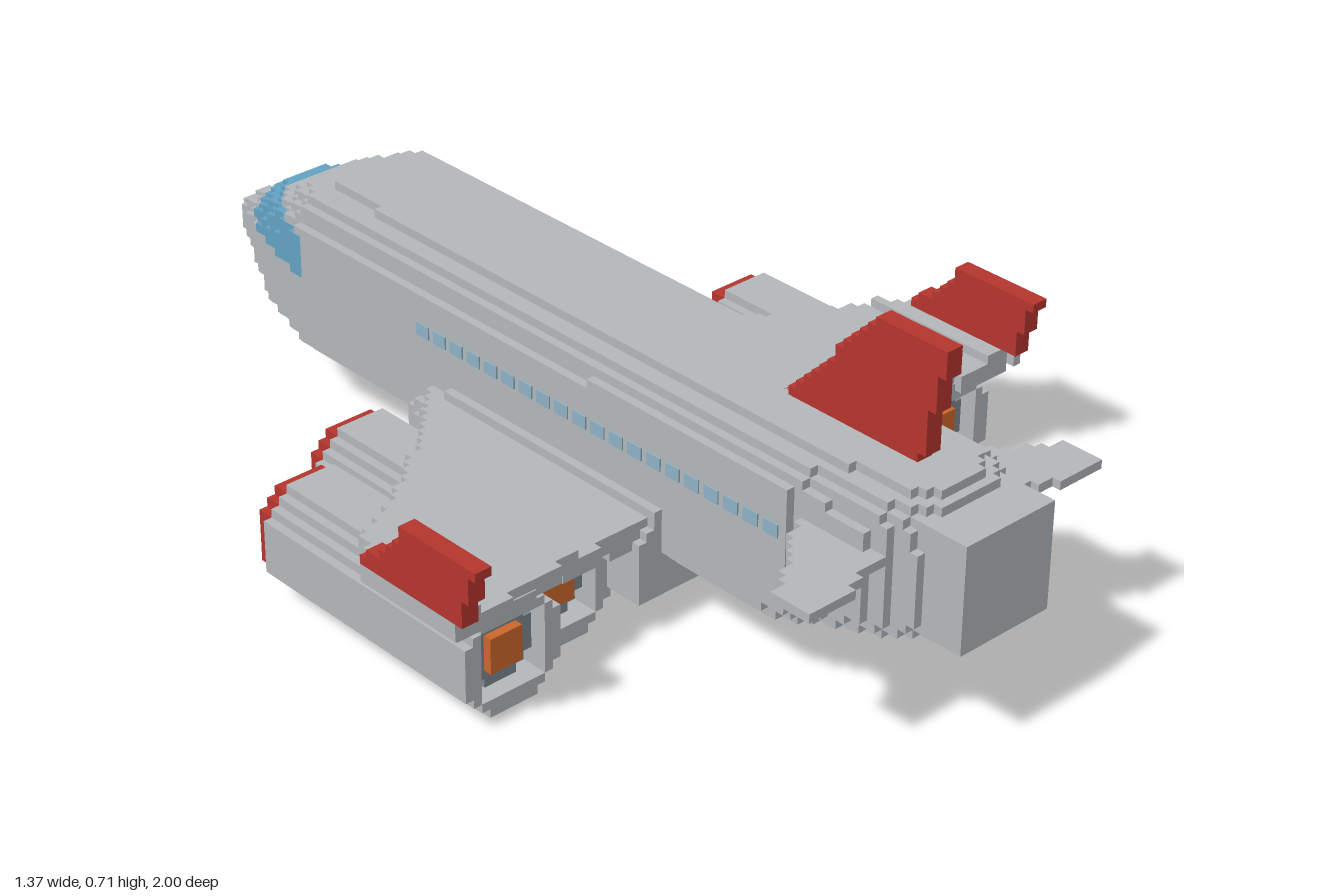
import * as THREE from 'three';

const V = 2 / 114; // block size

const mat = (name, color) => {
  const m = new THREE.MeshStandardMaterial({ color });
  m.name = name;
  return m;
};

// Piecewise-linear lookup through [position, value] points
function along(points, p) {
  if (p <= points[0][0]) return points[0][1];
  for (let i = 1; i < points.length; i++) {
    const [a, u] = points[i - 1], [b, v] = points[i];
    if (p <= b) return u + (v - u) * (p - a) / (b - a);
  }
  return points[points.length - 1][1];
}

// Fills min..max with blocks where pick(x, y, z) returns a material index (-1 = empty).
// Only outer faces are made, joined into long strips.
function blocks(name, materials, min, max, pick) {
  const lo = min.map(v => Math.round(v / V)), hi = max.map(v => Math.round(v / V));
  const n = lo.map((l, a) => hi[a] - l);
  const cells = new Int8Array(n[0] * n[1] * n[2]).fill(-1);
  const at = c => c.some((v, a) => v < 0 || v >= n[a]) ? -1 : cells[(c[0] * n[1] + c[1]) * n[2] + c[2]];
  for (let i = 0, q = 0; i < n[0]; i++)
    for (let j = 0; j < n[1]; j++)
      for (let k = 0; k < n[2]; k++, q++)
        cells[q] = pick((lo[0] + i + 0.5) * V, (lo[1] + j + 0.5) * V, (lo[2] + k + 0.5) * V);

  const faces = materials.map(() => []);
  for (let axis = 0; axis < 3; axis++) for (const dir of [-1, 1]) {
    const run = axis === 2 ? 0 : 2, side = 3 - axis - run;
    const face = c => {
      const d = [...c];
      d[axis] += dir;
      return at(d) < 0 ? at(c) : -1;
    };
    const flip = ((side - axis + 3) % 3 === 1) !== (dir > 0);
    for (let i = 0; i < n[axis]; i++) for (let j = 0; j < n[side]; j++) {
      const c = [0, 0, 0];
      c[axis] = i; c[side] = j;
      let start = 0, last = -1;
      for (let k = 0; k <= n[run]; k++) {
        c[run] = k;
        const now = k < n[run] ? face(c) : -1;
        if (now === last) continue;
        if (last >= 0) {
          const corner = (s, r) => {
            const p = [0, 0, 0];
            p[axis] = (lo[axis] + i + (dir > 0 ? 1 : 0)) * V;
            p[side] = (lo[side] + j + s) * V;
            p[run] = (lo[run] + r) * V;
            return p;
          };
          const quad = [corner(0, start), corner(1, start), corner(1, k), corner(0, k)];
          if (flip) quad.reverse();
          for (const t of [0, 1, 2, 0, 2, 3]) faces[last].push(...quad[t]);
        }
        start = k; last = now;
      }
    }
  }
  const g = new THREE.BufferGeometry();
  g.setAttribute('position', new THREE.Float32BufferAttribute(faces.flat(), 3));
  let first = 0;
  faces.forEach((f, i) => { g.addGroup(first, f.length / 3, i); first += f.length / 3; });
  g.computeVertexNormals();
  const mesh = new THREE.Mesh(g, materials);
  mesh.name = name;
  return mesh;
}

// Octagon test in the engine's cross-section
const oct = (x, y, flat, diag) => Math.abs(x) <= flat && Math.abs(y) <= flat && Math.abs(x) + Math.abs(y) <= diag;

export function createModel() {
  const model = new THREE.Group();
  model.name = 'airliner';
  const grey = mat('hullGrey', 0xb4b8bb), red = mat('trimRed', 0xb5352e);
  const glass = mat('cockpitBlue', 0x63a3c4), pale = mat('cabinWindowBlue', 0x8fb2c4);
  const slate = mat('turbineSlate', 0x7d8790), orange = mat('exhaustOrange', 0xcb672b);

  // Fuselage: half width, top and bottom along z; nose at -z
  const half = [[-1, 0.035], [-0.91, 0.08], [-0.82, 0.122], [-0.74, 0.148], [-0.65, 0.172], [0.66, 0.172], [0.7, 0.156], [0.82, 0.15], [0.92, 0.11]];
  const top = [[-1, 0.275], [-0.9, 0.335], [-0.83, 0.38], [-0.74, 0.42], [-0.63, 0.465], [0.88, 0.47], [0.92, 0.44]];
  const low = [[-1, 0.225], [-0.93, 0.2], [-0.8, 0.145], [-0.6, 0.122], [0.57, 0.122], [0.74, 0.165], [0.92, 0.215]];
  model.add(blocks('fuselage', [grey, glass], [-0.2, 0.1, -1], [0.2, 0.5, 0.92], (x, y, z) => {
    const w = along(half, z), t = along(top, z), b = along(low, z);
    if (Math.abs(x) > w || y > t || y < b) return -1;
    const r = Math.min(y > (t + b) / 2 ? 0.085 : 0.06, w * 0.7, (t - b) / 2);
    const dx = Math.abs(x) - (w - r), dy = Math.max(y - (t - r), b + r - y);
    if (dx > 0 && dy > 0 && Math.hypot(dx, dy) > r) return -1;
    return y > 0.3 && y < 0.38 && z > -0.89 && z < -0.63 ? 1 : 0;
  }));
  model.add(blocks('tailBlock', [grey], [-0.105, 0.228, 0.88], [0.105, 0.438, 1], () => 0));

  // Belly fairing that carries the wings
  const fairing = [[-0.32, 0.17], [-0.24, 0.21], [-0.18, 0.23], [0.37, 0.23]];
  model.add(blocks('bellyFairing', [grey], [-0.25, 0.07, -0.32], [0.25, 0.245, 0.37], (x, y, z) => {
    const w = along(fairing, z) - Math.max(0, y - 0.17) * 0.6;
    return Math.abs(x) < w && y > 0.07 + Math.max(0, -0.25 - z) ? 0 : -1;
  }));

  // Tail fin
  const finBack = [[0.47, 0.81], [0.64, 0.845], [0.66, 0.86]];
  const finFront = [[0.47, 0.49], [0.5, 0.53], [0.705, 0.71]];
  model.add(blocks('tailFin', [red], [-V, 0.456, 0.45], [V, 0.705, 0.88], (x, y, z) =>
    z > along(finFront, y) && z < along(finBack, y) ? 0 : -1));

  // Cabin windows
  const pane = new THREE.BoxGeometry(0.006, 0.026, 0.034);

  for (const s of [1, -1]) {
    const label = s > 0 ? 'left' : 'right';
    const span = (a, b) => s > 0 ? [a, b] : [-b, -a];

    // Wing with slight dihedral, thicker at the root
    const [wa, wb] = span(0.1, 0.69);
    const lead = [[0.17, -0.26], [0.3, -0.13], [0.45, 0.0], [0.61, 0.09], [0.66, 0.17], [0.69, 0.18]];
    const trail = [[0.1, 0.345], [0.28, 0.355], [0.65, 0.41], [0.69, 0.42]];
    model.add(blocks(label + 'Wing', [grey], [wa, 0.15, -0.3], [wb, 0.28, 0.44], (x, y, z) => {
      const a = Math.abs(x), t = 0.211 + 0.07 * a;
      const thick = a < 0.28 ? 0.055 : 0.038;
      return z > along(lead, a) && z < along(trail, a) && y < t && y > t - thick ? 0 : -1;
    }));

    // Swept winglet
    const [la, lb] = span(0.655, 0.69);
    model.add(blocks(label + 'Winglet', [red], [la, 0.263, 0.15], [lb, 0.386, 0.47], (x, y, z) =>
      z > along([[0.27, 0.18], [0.36, 0.28]], y) && z < along([[0.27, 0.43], [0.36, 0.465]], y) ? 0 : -1));

    // Tailplane
    const [ta, tb] = span(0.1, 0.345);
    model.add(blocks(label + 'Tailplane', [grey], [ta, 0.351, 0.64], [tb, 0.369, 0.9], (x, y, z) => {
      const a = Math.abs(x);
      return z > along([[0.15, 0.67], [0.32, 0.8]], a) && z < along([[0.14, 0.85], [0.2, 0.86], [0.27, 0.895]], a) ? 0 : -1;
    }));

    for (let i = 0; i < 20; i++) {
      const w = new THREE.Mesh(pane, pale);
      w.name = label + 'CabinWindow';
      w.position.set(s * 0.1755, 0.333, -0.27 + i * 0.0475);
      model.add(w);
    }

    // Engines: hollow nacelle, red intake lip, turbine core and exhaust
    for (const [kind, cx, cy, z0, z1] of [['Inner', 0.325, 0.1, -0.31, 0.28], ['Outer', 0.533, 0.12, -0.19, 0.385]]) {
      const engine = new THREE.Group();
      engine.name = label + kind + 'Engine';
      engine.position.set(s * cx, cy, z0);
      const len = z1 - z0, R = 6 * V;
      engine.add(
        blocks('nacelle', [grey], [-R, -R, 2 * V], [R, R, len], (x, y) =>
          oct(x, y, 0.1, 0.142) && !oct(x, y, 0.072, 0.125) ? 0 : -1),
        blocks('intakeLip', [red], [-R, -R, 0], [R, R, 2 * V], (x, y) =>
          oct(x, y, 0.088, 0.132) && !oct(x, y, 0.055, 0.075) ? 0 : -1),
        blocks('turbineCore', [slate], [-R, -R, 0.07], [R, R, len - 0.035], (x, y) =>
          oct(x, y, 0.072, 0.1) ? 0 : -1),
        blocks('exhaust', [orange], [-2 * V, -2 * V, len - 0.06], [2 * V, 2 * V, len - V], () => 0),
      );
      model.add(engine);
    }
  }
  return model;
}
